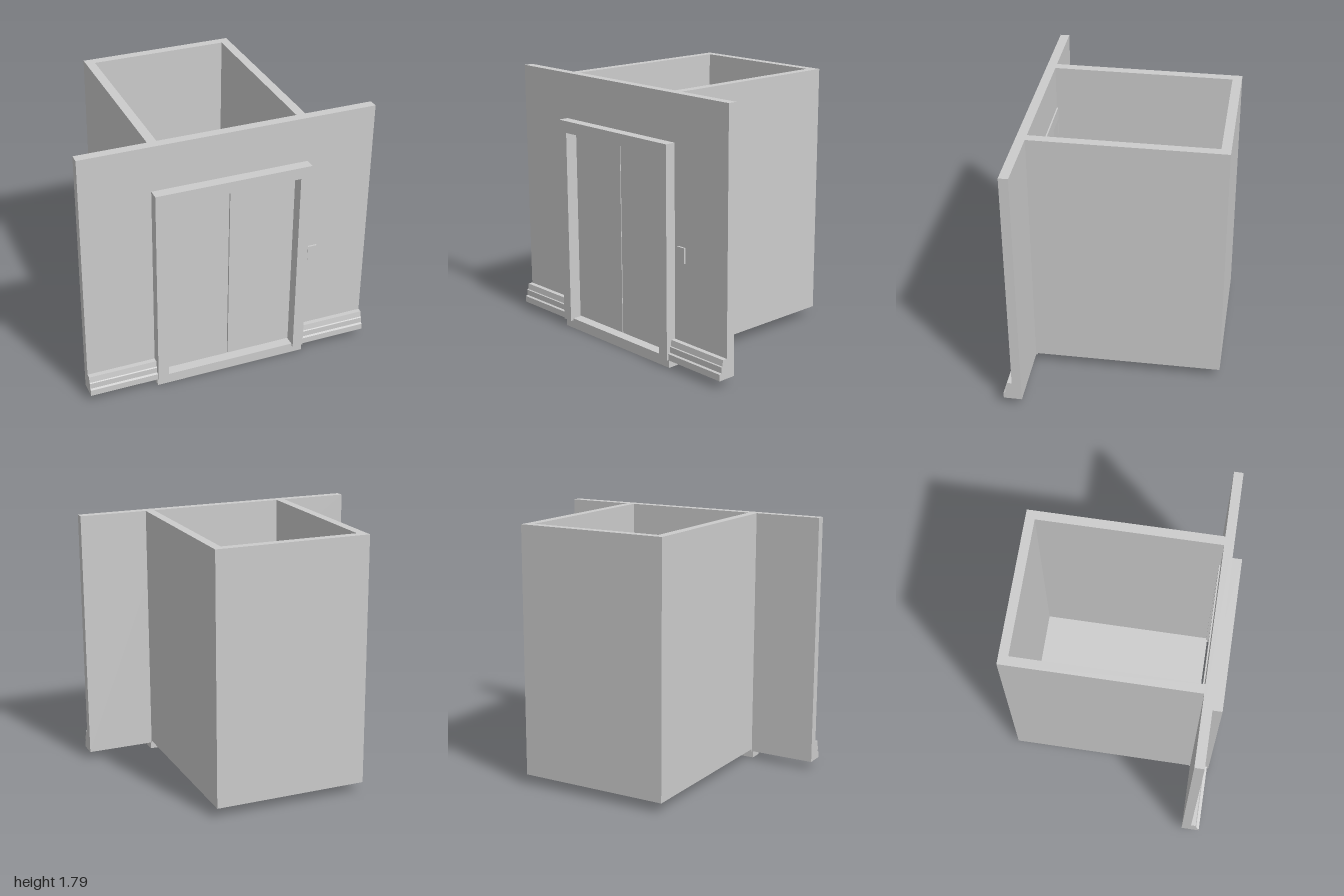
import * as THREE from 'three';

const material = new THREE.MeshStandardMaterial({ color: 0xcccccc, flatShading: true });

function add(parent, name, geometry) {
  const mesh = new THREE.Mesh(geometry, material);
  mesh.name = name;
  parent.add(mesh);
  return mesh;
}

// Box given by its limits on each axis
function box(parent, name, [x0, x1], [y0, y1], [z0, z1]) {
  const mesh = add(parent, name, new THREE.BoxGeometry(x1 - x0, y1 - y0, z1 - z0));
  mesh.position.set((x0 + x1) / 2, (y0 + y1) / 2, (z0 + z1) / 2);
  return mesh;
}

function extrude(points, depth) {
  const shape = new THREE.Shape(points.map(([x, y]) => new THREE.Vector2(x, y)));
  return new THREE.ExtrudeGeometry(shape, { depth, bevelEnabled: false });
}

// Outline of a slab with a doorway cut up from its lower edge
function portal(halfWidth, top, bottom, openHalf, openTop) {
  return [
    [-halfWidth, bottom], [-openHalf, bottom], [-openHalf, openTop], [openHalf, openTop],
    [openHalf, bottom], [halfWidth, bottom], [halfWidth, top], [-halfWidth, top],
  ];
}

export function createModel() {
  const group = new THREE.Group();
  group.name = 'elevator';
  const top = 1.785, base = 0.055, openHalf = 0.457, openTop = 1.395;

  // Front wall with doorway, and the door surround wrapping it
  add(group, 'frontWall', extrude(portal(1, top, base, openHalf + 0.02, openTop + 0.02), 0.063))
    .position.z = 0.574;
  add(group, 'doorFrame', extrude(portal(0.532, 1.475, base, openHalf, openTop), 0.146))
    .position.z = 0.564;

  // Shaft: three walls, open at the top, meeting the front wall
  const plan = [
    [-0.532, -0.574], [-0.47, -0.574], [-0.47, 0.647], [0.47, 0.647],
    [0.47, -0.574], [0.532, -0.574], [0.532, 0.71], [-0.532, 0.71],
  ];
  const shaft = add(group, 'shaftWalls', extrude(plan, top - 0.07));
  shaft.rotation.x = -Math.PI / 2;
  shaft.position.y = 0.07;

  // Thin car floor
  box(group, 'floor', [-0.47, 0.47], [0.085, 0.095], [-0.647, 0.574]);

  // Two sliding door leaves with a narrow seam
  for (const [name, s] of [['leftDoor', 1], ['rightDoor', -1]]) {
    const edges = [s * 0.003, s * openHalf].sort((a, b) => a - b);
    box(group, name, edges, [0.075, 1.387], [0.6, 0.625]);
  }

  // Threshold: wide base and raised strip between the jambs
  box(group, 'sill', [-0.532, 0.532], [0, base], [0.595, 0.69]);
  box(group, 'threshold', [-openHalf, openHalf], [base, 0.07], [0.595, 0.69]);

  // Stepped skirting on each side of the doorway
  const profile = [
    [0.637, base], [0.698, base], [0.698, 0.098], [0.684, 0.104], [0.684, 0.143],
    [0.676, 0.147], [0.67, 0.187], [0.637, 0.187],
  ];
  for (const [name, x] of [['leftSkirting', 1], ['rightSkirting', -0.532]]) {
    const skirting = add(group, name, extrude(profile, 0.468));
    skirting.rotation.y = -Math.PI / 2;
    skirting.position.x = x;
  }

  // Call button plate
  box(group, 'callPlate', [0.565, 0.63], [0.715, 0.818], [0.63, 0.65]);

  return group;
}
